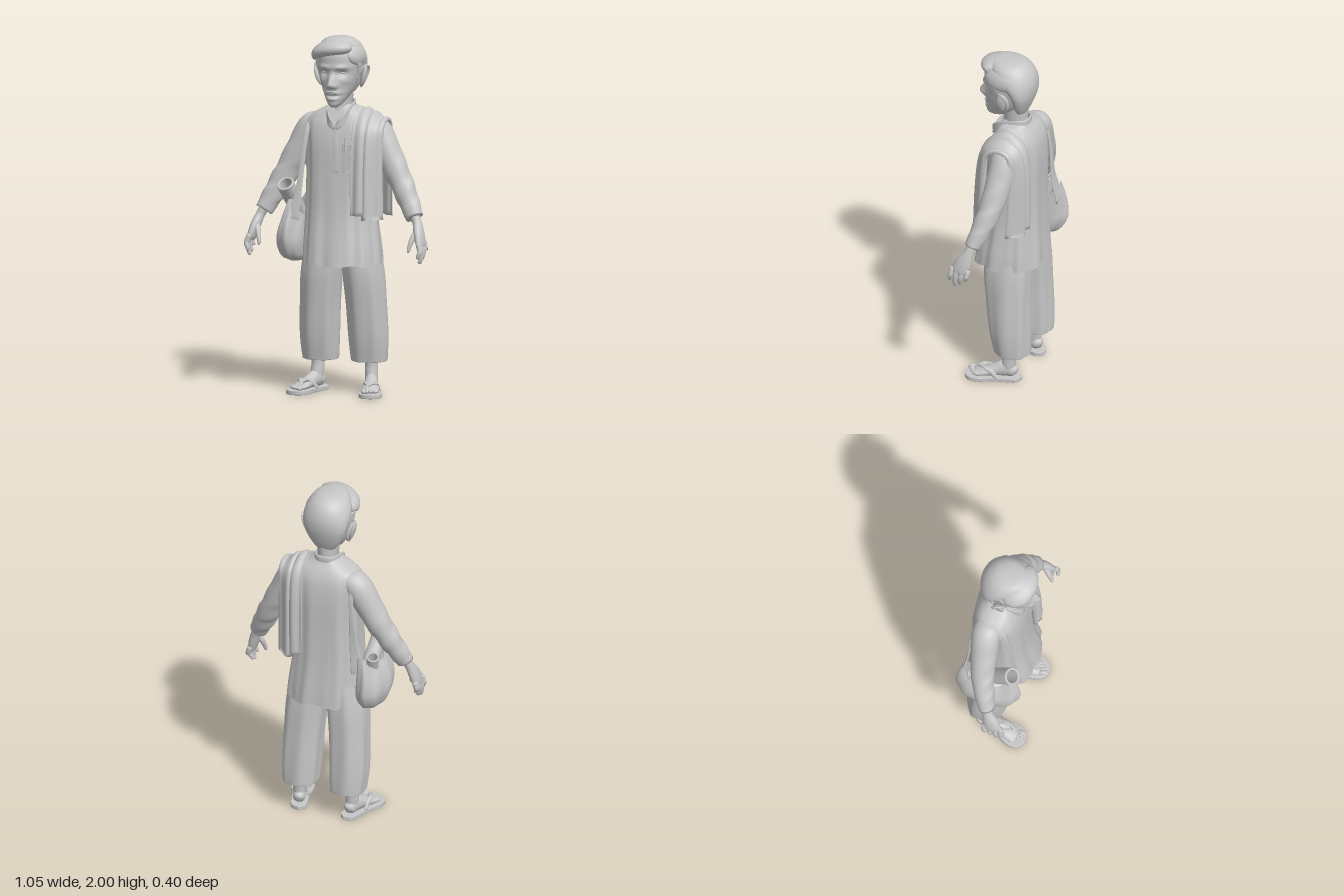
import * as THREE from 'three';

const clay = new THREE.MeshStandardMaterial({ color: 0xc6c6c6, side: THREE.DoubleSide });
clay.name = 'matte grey';

const V3 = (x, y, z) => new THREE.Vector3(x, y, z);
const AX = V3(1, 0, 0), AY = V3(0, 1, 0), AZ = V3(0, 0, 1);
const bump = (d, r) => Math.exp(-(d * d) / (r * r));

function mesh(name, geometry, parent) {
  const m = new THREE.Mesh(geometry, clay);
  m.name = name;
  parent.add(m);
  return m;
}

// Smooth skin through stations [x, y, z, a, b]; a runs along ref, b across it.
function loft(stations, { seg = 24, steps = 24, ref = AX, flat = false, power = 2, caps = true, warp } = {}) {
  const path = new THREE.CatmullRomCurve3(stations.map(s => V3(s[0], s[1], s[2])), false, 'catmullrom');
  const size = new THREE.CatmullRomCurve3(stations.map(s => V3(s[3], s[4], 0)), false, 'catmullrom');
  const pos = [], idx = [];
  const se = c => Math.sign(c) * Math.abs(c) ** (2 / power);
  for (let i = 0; i <= steps; i++) {
    const t = i / steps, p = path.getPoint(t), r = size.getPoint(t);
    const T = flat ? AY : path.getTangent(t);
    const U = ref.clone().addScaledVector(T, -ref.dot(T)).normalize();
    const W = U.clone().cross(T);
    for (let j = 0; j < seg; j++) {
      const th = (j / seg) * Math.PI * 2;
      const v = p.clone().addScaledVector(U, Math.max(r.x, 0.001) * se(Math.cos(th)))
        .addScaledVector(W, Math.max(r.y, 0.001) * se(Math.sin(th)));
      if (warp) warp(v, t, th, p);
      pos.push(v.x, v.y, v.z);
      const a = i * seg + j, b = i * seg + (j + 1) % seg;
      if (i < steps) idx.push(a, a + seg, b, b, a + seg, b + seg);
    }
  }
  if (caps) for (const [k, row] of [[0, 0], [1, steps]]) {
    const c = path.getPoint(k), n = pos.length / 3;
    pos.push(c.x, c.y, c.z);
    for (let j = 0; j < seg; j++) {
      const a = row * seg + j, b = row * seg + (j + 1) % seg;
      if (k) idx.push(n, b, a); else idx.push(n, a, b);
    }
  }
  const g = new THREE.BufferGeometry();
  g.setAttribute('position', new THREE.Float32BufferAttribute(pos, 3));
  g.setIndex(idx);
  g.computeVertexNormals();
  return g;
}

// Horizontal sections [y, front z, back z, half width, centre x]
const layers = rows => rows.map(([y, f, b, w, x = 0]) => [x, y, (f + b) / 2, w, (f - b) / 2]);
const mirror = (s, rows) => rows.map(([x, ...rest]) => [x * s, ...rest]);
const tube = (pts, r) => new THREE.TubeGeometry(new THREE.CatmullRomCurve3(pts.map(p => V3(...p))), 20, r, 8);

function ball(name, parent, p, r, rot = [0, 0, 0]) {
  const m = mesh(name, new THREE.SphereGeometry(1, 28, 20), parent);
  m.position.set(...p); m.scale.set(...r); m.rotation.set(...rot);
}

function buildHead(g) {
  mesh('neck', loft(layers([[1.46, 0.1, -0.09, 0.055], [1.55, 0.07, -0.085, 0.054],
    [1.62, 0.055, -0.085, 0.056], [1.72, 0.07, -0.09, 0.066]]), { flat: true }), g);
  // Face features are pushed out of a smooth head
  mesh('head', loft(layers([[1.613, 0.14, 0.09, 0.015], [1.63, 0.158, 0.045, 0.037], [1.67, 0.16, -0.03, 0.065],
    [1.73, 0.156, -0.085, 0.094], [1.8, 0.158, -0.115, 0.115], [1.86, 0.166, -0.125, 0.122],
    [1.92, 0.16, -0.12, 0.116], [1.965, 0.11, -0.08, 0.08], [1.98, 0.05, -0.03, 0.02]]),
  { flat: true, seg: 72, steps: 64, power: 2.1, warp: v => {
    if (v.z < 0.05) return;
    const x = Math.abs(v.x), y = v.y;
    v.z += 0.05 * bump(x, 0.021) * bump(y - 1.743, y > 1.743 ? 0.05 : 0.018)
      + 0.02 * bump(x - 0.02, 0.012) * bump(y - 1.735, 0.014)
      - 0.018 * bump(x - 0.05, 0.028) * bump(y - 1.807, 0.02)
      + 0.013 * bump(x - 0.05, 0.04) * bump(y - 1.838, 0.013)
      + 0.010 * bump(x, 0.045) * bump(y - 1.698, 0.011)
      + 0.011 * bump(x, 0.03) * bump(y - 1.663, 0.009)
      - 0.010 * bump(x, 0.045) * bump(y - 1.681, 0.006)
      + 0.008 * bump(x - 0.075, 0.025) * bump(y - 1.76, 0.02);
  } }), g);
  for (const s of [1, -1]) {
    ball('eye', g, [s * 0.049, 1.808, 0.121], [0.02, 0.009, 0.012]);
    mesh('eyebrow', tube([[s * 0.018, 1.83, 0.162], [s * 0.05, 1.838, 0.151], [s * 0.082, 1.83, 0.122]], 0.005), g);
    mesh('moustache', tube([[0, 1.705, 0.167], [s * 0.02, 1.701, 0.162], [s * 0.04, 1.688, 0.143]], 0.005), g);
    ball('ear', g, [s * 0.13, 1.778, 0.002], [0.016, 0.066, 0.034], [0.15, s * 0.35, -s * 0.28]);
    mesh('earRim', tube([[s * 0.118, 1.8, 0.032], [s * 0.143, 1.836, 0.02], [s * 0.154, 1.828, -0.018],
      [s * 0.14, 1.775, -0.027], [s * 0.116, 1.715, 0.004]], 0.007), g);
    mesh('sideburn', loft(mirror(s, [[0.106, 1.76, 0.035, 0.012, 0.006], [0.117, 1.82, 0.035, 0.025, 0.01],
      [0.118, 1.88, 0.04, 0.05, 0.014]]), { ref: AZ }), g);
  }
  // Hair: a cap round the back, a swept fringe and a smaller lobe past the parting
  mesh('hairBack', loft(layers([[1.68, -0.03, -0.085, 0.058], [1.73, -0.015, -0.108, 0.092], [1.79, -0.005, -0.128, 0.118],
    [1.84, 0.03, -0.136, 0.131], [1.885, 0.08, -0.134, 0.134], [1.93, 0.125, -0.12, 0.124],
    [1.965, 0.135, -0.094, 0.104], [1.988, 0.12, -0.058, 0.074], [1.998, 0.08, -0.015, 0.03]]),
  { flat: true, seg: 40, steps: 48 }), g);
  mesh('hairFringe', loft([[-0.13, 1.878, 0.055, 0.03, 0.012], [-0.116, 1.9, 0.065, 0.055, 0.03],
    [-0.085, 1.918, 0.075, 0.085, 0.043], [-0.04, 1.933, 0.082, 0.1, 0.051], [0.005, 1.941, 0.084, 0.102, 0.052],
    [0.045, 1.944, 0.075, 0.09, 0.044], [0.075, 1.945, 0.06, 0.06, 0.02]], { ref: AZ, seg: 32, steps: 32 }), g);
  ball('hairSideLobe', g, [0.098, 1.9, 0.035], [0.036, 0.062, 0.095], [0, -0.12, 0.25]);
}

function buildClothes(g) {
  mesh('longShirt', loft(layers([[0.73, 0.19, -0.19, 0.215, 0.012], [0.82, 0.175, -0.184, 0.212, 0.008],
    [1, 0.145, -0.172, 0.198], [1.2, 0.13, -0.168, 0.195], [1.38, 0.12, -0.168, 0.2], [1.49, 0.1, -0.157, 0.205],
    [1.55, 0.075, -0.135, 0.178], [1.595, 0.053, -0.105, 0.1], [1.618, 0.04, -0.095, 0.06]]),
  { flat: true, seg: 96, steps: 48, power: 2.5, caps: false, warp: (v, t, th, p) => {
    const k = Math.max(0, 1 - t * 1.25);
    const f = 1 + (0.03 * Math.sin(th * 9 + 1 + t * 2) + 0.015 * Math.sin(th * 17)) * k
      + 0.012 * Math.sin(th * 12) * bump(t - 0.5, 0.25);
    v.x = p.x + (v.x - p.x) * f;
    v.z = p.z + (v.z - p.z) * f;
    v.y += 0.006 * Math.sin(th * 7) * k * k;
  } }), g);
  mesh('placket', loft([[0.008, 1.25, 0.127, 0.016, 0.003], [0.006, 1.4, 0.119, 0.016, 0.004],
    [0.003, 1.5, 0.099, 0.015, 0.004]], { power: 4 }), g);
  mesh('chestPocket', loft([[0.085, 1.26, 0.122, 0.035, 0.004], [0.085, 1.41, 0.113, 0.037, 0.005]], { power: 5 }), g);
  mesh('pen', tube([[0.07, 1.36, 0.128], [0.07, 1.4, 0.126], [0.068, 1.445, 0.12]], 0.008), g);
  for (const s of [1, -1]) {
    mesh('collar', loft([[0.004 * s, 1.49, 0.112, 0.008, 0.005], [0.036 * s, 1.53, 0.102, 0.024, 0.006],
      [0.062 * s, 1.58, 0.05, 0.024, 0.006], [0.066 * s, 1.61, -0.03, 0.021, 0.006],
      [0.042 * s, 1.62, -0.085, 0.018, 0.006], [0, 1.623, -0.098, 0.018, 0.006]], { ref: AY, power: 3 }), g);
    mesh('sleeve', loft(mirror(s, [[0.13, 1.52, -0.045, 0.07, 0.045], [0.19, 1.475, -0.05, 0.08, 0.076],
      [0.253, 1.36, -0.042, 0.075, 0.076], [0.328, 1.22, -0.026, 0.066, 0.068], [0.393, 1.1, 0.004, 0.056, 0.06],
      [0.442, 1.005, 0.035, 0.044, 0.05]]),
    { ref: AZ, steps: 48, seg: 32, warp: (v, t, th) => {
      v.y += 0.008 * Math.sin(t * 34 + th * 2) * bump(t - 0.68, 0.25);
    } }), g);
    // Loose trouser leg, gathered at the hem
    mesh('trouserLeg', loft(mirror(s, layers([[0.19, 0.02, -0.15, 0.085, 0.142], [0.178, 0.03, -0.163, 0.095, 0.142],
      [0.2, 0.036, -0.166, 0.1, 0.142], [0.32, 0.06, -0.165, 0.107, 0.142], [0.5, 0.085, -0.16, 0.108, 0.135],
      [0.68, 0.108, -0.158, 0.11, 0.122], [0.86, 0.11, -0.15, 0.1, 0.1]])),
    { flat: true, seg: 60, steps: 36, power: 2.3, caps: false, warp: (v, t, th, p) => {
      const f = 1 + 0.035 * Math.sin(th * 7 + t * 3) * (0.4 + 0.6 * Math.sin(t * Math.PI));
      v.x = p.x + (v.x - p.x) * f;
      v.z = p.z + (v.z - p.z) * f;
    } }), g);
  }
  // Shawl folded over the left shoulder, hanging front and back and wrapping to the side
  const shawl = (name, x, w, lift, end, ph) => mesh(name, loft([[x + 0.005, end, 0.138, w, 0.014],
    [x, 1.2, 0.13, w, 0.014], [x, 1.4, 0.112, w, 0.014], [x, 1.5, 0.079, w, 0.015],
    [x, 1.562, 0.01, w, 0.015], [x, 1.566, -0.06, w, 0.015], [x, 1.51, -0.125, w, 0.014],
    [x, 1.38, -0.15, w, 0.011], [x, 1.2, -0.153, w, 0.01], [x + 0.005, end, -0.15, w, 0.01]],
  { seg: 48, steps: 70, power: 3.5, warp: (v, t) => {
    const wave = 0.008 * Math.sin(v.x * 95 + ph), d = Math.max(0, v.x - 0.15), top = bump(t - 0.5, 0.2);
    v.z += Math.sign(v.z + 0.025) * (wave - 5.5 * d * d + lift) * (1 - top);
    v.y += (wave + lift - (v.x - 0.15) * 0.42) * top;
  } }), g);
  shawl('shawlInner', 0.143, 0.045, 0.006, 1.015, 0);
  shawl('shawlOuter', 0.212, 0.052, 0.004, 0.99, 2);
}

function buildHandsAndFeet(g) {
  for (const s of [1, -1]) {
    mesh('hand', loft(mirror(s, [[0.44, 1.02, 0.034, 0.029, 0.028], [0.462, 0.975, 0.046, 0.03, 0.026],
      [0.48, 0.92, 0.068, 0.046, 0.028], [0.495, 0.865, 0.085, 0.05, 0.023], [0.5, 0.845, 0.088, 0.038, 0.015]]),
    { ref: AZ }), g);
    [[0.036, 0.805], [0.067, 0.775], [0.099, 0.76], [0.13, 0.79]].forEach(([z, end]) =>
      mesh('finger', loft(mirror(s, [[0.495, 0.88, z, 0.015, 0.015], [0.508, 0.835, z + 0.006, 0.015, 0.015],
        [0.506, end + 0.03, z + 0.012, 0.013, 0.013], [0.497, end + 0.006, z + 0.013, 0.01, 0.01],
        [0.495, end, z + 0.013, 0.002, 0.002]]), { ref: AZ, seg: 12, steps: 14 }), g));
    mesh('thumb', loft(mirror(s, [[0.475, 0.945, 0.07, 0.018, 0.018], [0.454, 0.9, 0.1, 0.017, 0.016],
      [0.444, 0.865, 0.117, 0.014, 0.013], [0.438, 0.83, 0.127, 0.009, 0.009], [0.437, 0.824, 0.127, 0.002, 0.002]]),
    { ref: AZ, seg: 12 }), g);

    const foot = new THREE.Group();
    foot.name = 'foot';
    foot.position.set(s * 0.178, 0, 0.012);
    foot.rotation.y = s * 0.3;
    g.add(foot);
    const outline = [[0, 0.137], [0.038, 0.11], [0.043, 0.05], [0.046, -0.02], [0.062, -0.1], [0.047, -0.157], [0, -0.177],
      [-0.047, -0.157], [-0.062, -0.1], [-0.046, -0.02], [-0.043, 0.05], [-0.038, 0.11]];
    const sole = new THREE.Shape(new THREE.SplineCurve([...outline, outline[0]]
      .map(p => new THREE.Vector2(...p))).getPoints(48).slice(0, -1));
    const soleGeo = new THREE.ExtrudeGeometry(sole, { depth: 0.017, bevelSize: 0.004, bevelThickness: 0.004, bevelSegments: 2 });
    mesh('sandalSole', soleGeo.rotateX(-Math.PI / 2).translate(0, 0.004, 0), foot);
    mesh('footTop', loft([[0, 0.05, -0.112, 0.012, 0.018], [0, 0.058, -0.094, 0.033, 0.036],
      [0, 0.068, -0.045, 0.036, 0.048], [0, 0.056, 0.01, 0.038, 0.036], [0, 0.042, 0.07, 0.048, 0.024],
      [0, 0.034, 0.12, 0.046, 0.015], [0, 0.032, 0.135, 0.03, 0.008]], { seg: 28 }), foot);
    mesh('ankle', loft([[0, 0.05, -0.06, 0.034, 0.044], [0, 0.11, -0.065, 0.036, 0.04],
      [0, 0.17, -0.072, 0.036, 0.039], [0, 0.28, -0.075, 0.045, 0.05]], { flat: true }), foot);
    for (let i = 0; i < 5; i++)
      ball('toe', foot, [s * (-0.035 + i * 0.0185), 0.036, 0.142 - i * i * 0.0022], i ? [0.01, 0.011, 0.02] : [0.014, 0.014, 0.025]);
    for (const k of [1, -1])
      mesh('sandalStrap', loft([[s * -0.02, 0.03, 0.13, 0.008, 0.006], [s * -0.017, 0.058, 0.105, 0.01, 0.006],
        [k * 0.03, 0.07, 0.05, 0.014, 0.007], [k * 0.046, 0.025, -0.005, 0.012, 0.006]], { ref: AZ, seg: 12 }), foot);
  }
}

function buildBag(g) {
  // Soft pouch whose rim rises towards the strap at front and back
  mesh('bagPouch', loft(layers([[0.73, 0.05, -0.08, 0.03, -0.265], [0.76, 0.12, -0.145, 0.066, -0.272],
    [0.83, 0.165, -0.188, 0.083, -0.278], [0.9, 0.168, -0.19, 0.082, -0.278], [0.97, 0.145, -0.18, 0.07, -0.27],
    [1.03, 0.12, -0.165, 0.056, -0.258]]),
  { flat: true, seg: 60, steps: 32, caps: false, warp: (v, t, th, p) => {
    const f = 1 + 0.03 * Math.sin(th * 8 + t * 5);
    v.x = p.x + (v.x - p.x) * f;
    v.z = p.z + (v.z - p.z) * f;
    v.y += t * t * 0.1 * (Math.sin(th) ** 4 - 0.4);
  } }), g);
  mesh('bagBase', loft(layers([[0.728, 0.03, -0.06, 0.02, -0.265], [0.745, 0.085, -0.115, 0.045, -0.268]]),
    { flat: true }), g);
  mesh('bagFilling', loft(layers([[0.86, 0.13, -0.15, 0.065, -0.273], [0.93, 0.12, -0.14, 0.062, -0.268],
    [0.965, 0.02, -0.04, 0.01, -0.265]]), { flat: true }), g);
  mesh('bagStrap', loft([[-0.24, 0.98, 0.135, 0.035, 0.006], [-0.21, 1.15, 0.11, 0.018, 0.005],
    [-0.19, 1.38, 0.08, 0.014, 0.005], [-0.175, 1.5, 0.045, 0.013, 0.005], [-0.165, 1.54, -0.03, 0.013, 0.005],
    [-0.175, 1.49, -0.11, 0.013, 0.005], [-0.19, 1.35, -0.135, 0.014, 0.005], [-0.208, 1.15, -0.142, 0.026, 0.005],
    [-0.245, 0.98, -0.165, 0.045, 0.006]], { steps: 60, power: 3 }), g);
  // Rolled papers standing in the bag, open at the top
  const roll = (name, a, b, r) => {
    const A = V3(...a), B = V3(...b), holder = new THREE.Group(), len = A.distanceTo(B);
    holder.name = name;
    holder.position.copy(A);
    holder.quaternion.setFromUnitVectors(AY, B.clone().sub(A).normalize());
    const wall = [[r * 0.85, 0], [r, len], [r * 0.75, len], [r * 0.65, 0]].map(p => new THREE.Vector2(...p));
    mesh('paperRoll', new THREE.LatheGeometry(wall, 24), holder);
    const rim = mesh('paperEdge', new THREE.TorusGeometry(r * 0.88, r * 0.16, 8, 24).rotateX(Math.PI / 2), holder);
    rim.position.y = len;
    g.add(holder);
  };
  roll('frontRoll', [-0.25, 0.97, -0.035], [-0.282, 1.17, 0.13], 0.049);
  roll('backRoll', [-0.265, 0.86, -0.02], [-0.3, 1.06, -0.09], 0.035);
}

export function createModel() {
  const model = new THREE.Group();
  model.name = 'standingMan';
  for (const [name, build] of [['headParts', buildHead], ['clothes', buildClothes],
    ['limbs', buildHandsAndFeet], ['shoulderBag', buildBag]]) {
    const part = new THREE.Group();
    part.name = name;
    build(part);
    model.add(part);
  }
  return model;
}
